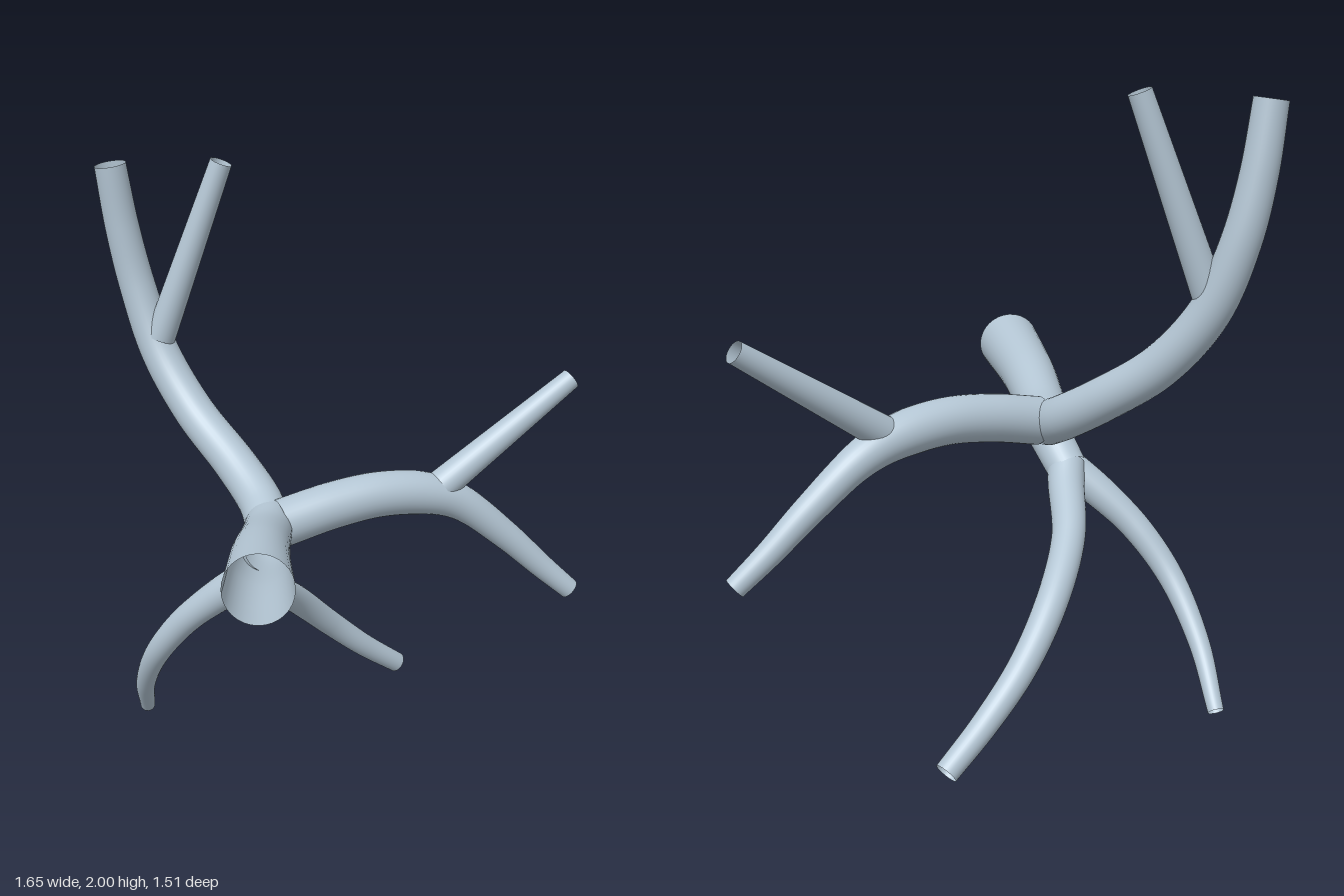
import * as THREE from 'three';

// Open tapered tube through points; radii are spread evenly along its length
function taperedTube(points, radii, segments = 48, sides = 32) {
  const curve = new THREE.CatmullRomCurve3(points.map(p => new THREE.Vector3(...p)));
  const geo = new THREE.TubeGeometry(curve, segments, 1, sides, false);
  const pos = geo.attributes.position;
  const v = new THREE.Vector3();
  for (let i = 0; i <= segments; i++) {
    const u = i / segments;
    const k = Math.min(Math.floor(u * (radii.length - 1)), radii.length - 2);
    const r = THREE.MathUtils.lerp(radii[k], radii[k + 1], u * (radii.length - 1) - k);
    const centre = curve.getPointAt(u);
    for (let j = 0; j <= sides; j++) {
      const n = i * (sides + 1) + j;
      v.fromBufferAttribute(pos, n).sub(centre).multiplyScalar(r).add(centre);
      pos.setXYZ(n, v.x, v.y, v.z);
    }
  }
  return geo;
}

export function createModel() {
  const model = new THREE.Group();
  model.name = 'branchingTubes';
  const paleBlue = new THREE.MeshStandardMaterial({ color: 0xb4c6d4, side: THREE.DoubleSide });
  paleBlue.name = 'paleBlue';

  const parts = {
    // Wide main tube, coming in from the front
    trunk: [[[-0.135, 1.0, 0.735], [-0.175, 0.955, 0.4], [-0.195, 0.9, 0.12], [-0.2, 0.895, 0]],
      [0.106, 0.094, 0.084, 0.078]],
    // Upper right branch and its straight twig
    upperBranch: [[[-0.2, 0.89, 0.02], [-0.24, 0.935, -0.08], [-0.34, 1.02, -0.2], [-0.5, 1.16, -0.33],
      [-0.625, 1.34, -0.415], [-0.7, 1.55, -0.455], [-0.745, 1.75, -0.46], [-0.775, 1.965, -0.45]],
      [0.075, 0.07, 0.066, 0.06, 0.053]],
    upperTwig: [[[-0.62, 1.39, -0.41], [-0.4, 1.985, -0.42]], [0.051, 0.037]],
    // Left branch, arching over and down, with its straight twig
    leftBranch: [[[-0.16, 0.9, 0.01], [0, 0.935, -0.075], [0.15, 0.948, -0.155], [0.3, 0.925, -0.235],
      [0.41, 0.875, -0.29], [0.57, 0.735, -0.35], [0.7, 0.605, -0.39], [0.8, 0.512, -0.415]],
      [0.079, 0.077, 0.074, 0.056, 0.046, 0.036]],
    leftTwig: [[[0.345, 0.945, -0.255], [0.77, 1.26, -0.49]], [0.055, 0.036]],
    // Lower stem, splitting into two curved branches
    lowerStem: [[[-0.18, 0.885, 0.2], [-0.225, 0.8, 0.12], [-0.265, 0.725, 0.04]], [0.075, 0.066]],
    lowerLeftBranch: [[[-0.262, 0.735, 0.05], [-0.255, 0.69, -0.01], [-0.24, 0.575, -0.2], [-0.165, 0.435, -0.4],
      [-0.06, 0.28, -0.54], [0.06, 0.145, -0.635], [0.182, 0.032, -0.722]],
      [0.062, 0.054, 0.05, 0.044, 0.037]],
    lowerRightBranch: [[[-0.26, 0.73, 0.07], [-0.37, 0.645, 0.04], [-0.49, 0.53, 0], [-0.6, 0.375, -0.065],
      [-0.675, 0.19, -0.19], [-0.705, 0.015, -0.335]],
      [0.062, 0.05, 0.043, 0.035, 0.026]],
  };

  for (const [name, [points, radii]] of Object.entries(parts)) {
    const mesh = new THREE.Mesh(taperedTube(points, radii), paleBlue);
    mesh.name = name;
    model.add(mesh);
  }
  return model;
}
